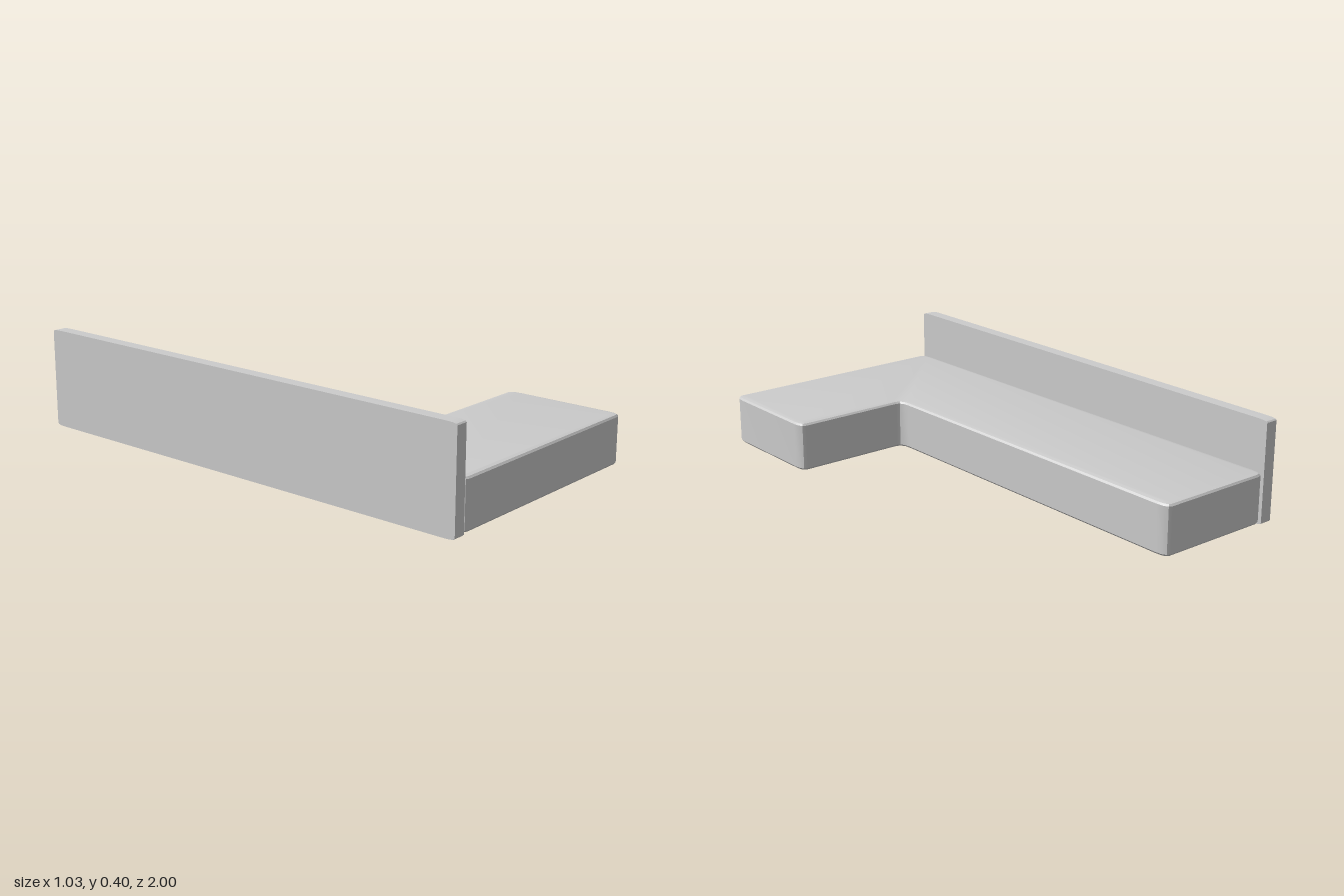
import * as THREE from 'three';
import { toCreasedNormals } from 'three/addons/utils/BufferGeometryUtils.js';

const material = new THREE.MeshStandardMaterial({ color: 0xcccccc });

// Outline whose corners [x, y, trimX, trimY] are each cut by a small curve
function softOutline(corners) {
  const n = corners.length;
  const points = [];
  corners.forEach(([x, y, tx, ty], i) => {
    const ends = [corners[(i + n - 1) % n], corners[(i + 1) % n]].map(([ox, oy]) =>
      new THREE.Vector2(x + Math.sign(ox - x) * tx, y + Math.sign(oy - y) * ty));
    const curve = new THREE.QuadraticBezierCurve(ends[0], new THREE.Vector2(x, y), ends[1]);
    points.push(...curve.getPoints(3));
  });
  return new THREE.Shape(points);
}

function addPart(group, name, geometry) {
  const mesh = new THREE.Mesh(toCreasedNormals(geometry, 0.5), material);
  mesh.name = name;
  group.add(mesh);
}

export function createModel() {
  const group = new THREE.Group();
  group.name = 'cornerBench';

  // L-shaped seat, drawn in plan (x, -z) and extruded upwards
  const tx = 0.026, tz = 0.05;
  const plan = softOutline([
    [-0.47, -1], [0.515, -1], [0.515, -0.51], [0.025, -0.51], [0.025, 1], [-0.47, 1],
  ].map(([x, y]) => [x, y, tx, tz]));
  const bottom = 0.007, top = 0.205, bevel = 0.01, inset = 0.02;
  const seat = new THREE.ExtrudeGeometry(plan, {
    depth: top - bottom - 2 * bevel,
    bevelThickness: bevel, bevelSize: inset, bevelOffset: -inset, bevelSegments: 2,
  });
  seat.rotateX(-Math.PI / 2).translate(0, bottom + bevel, 0);
  addPart(group, 'seat', seat);

  // Upright back panel, drawn from the side (z, y) and extruded across
  const side = softOutline([[-1, 0], [1, 0], [1, 0.4], [-1, 0.4]].map(([z, y]) => [z, y, 0.045, 0.008]));
  const panel = new THREE.ExtrudeGeometry(side, { depth: 0.05, bevelEnabled: false });
  panel.rotateY(-Math.PI / 2).translate(-0.47, 0, 0);
  addPart(group, 'backPanel', panel);

  return group;
}
